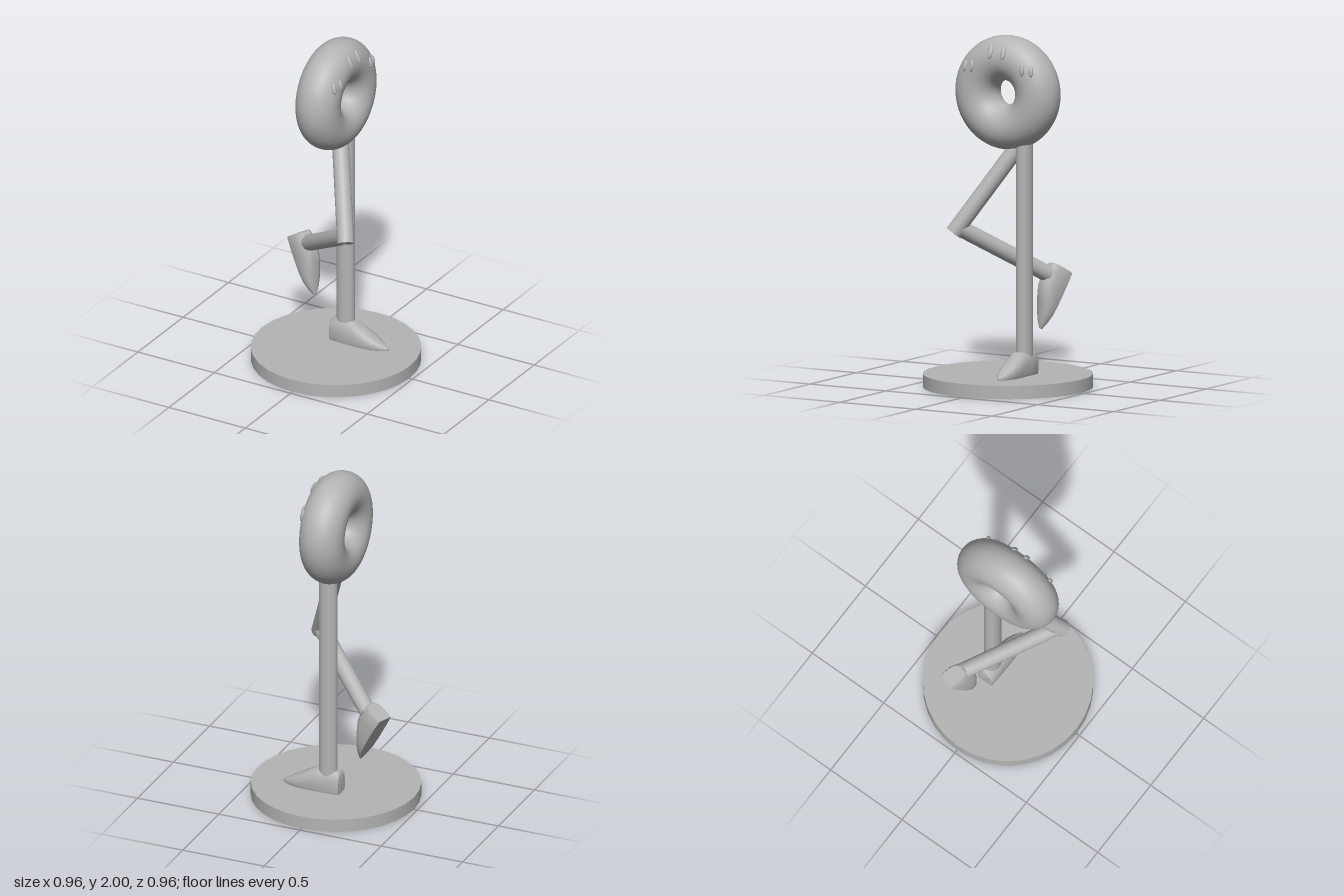
import * as THREE from 'three';
import { toCreasedNormals } from 'three/addons/utils/BufferGeometryUtils.js';

const V = (x, y, z) => new THREE.Vector3(x, y, z);
const RING = { y: 1.675, R: 0.197, r: 0.128 };

// Foot lofted along +x (toe), sole on y = 0: [x, height, half width]
function footGeometry() {
  const stations = [
    [-0.08, 0.118, 0.047], [-0.07, 0.13, 0.053], [0.005, 0.14, 0.057], [0.07, 0.13, 0.058],
    [0.13, 0.097, 0.057], [0.19, 0.063, 0.05], [0.24, 0.036, 0.031], [0.278, 0.014, 0.008],
  ];
  const section = [[-0.92, 0], [-1, 0.15], [-1, 0.55], [-0.82, 0.85], [-0.45, 1],
    [0.45, 1], [0.82, 0.85], [1, 0.55], [1, 0.15], [0.92, 0]];
  const n = section.length, pos = [], idx = [];
  for (const [x, h, w] of stations)
    for (const [z, y] of section) pos.push(x, y * h, z * w);
  for (let s = 0; s < stations.length - 1; s++)
    for (let i = 0; i < n; i++) {
      const a = s * n + i, b = s * n + (i + 1) % n;
      idx.push(a, b, a + n, b, b + n, a + n);
    }
  const last = (stations.length - 1) * n;
  for (let i = 1; i < n - 1; i++) {
    idx.push(0, i + 1, i);
    idx.push(last, last + i, last + i + 1);
  }
  const g = new THREE.BufferGeometry();
  g.setAttribute('position', new THREE.Float32BufferAttribute(pos, 3));
  g.setIndex(idx);
  return toCreasedNormals(g, 0.75);
}

export function createModel() {
  const model = new THREE.Group();
  model.name = 'ringFigure';
  const grey = new THREE.MeshStandardMaterial({ color: 0xb4b4b4 });
  grey.name = 'grey';

  const add = (name, geometry) => {
    const mesh = new THREE.Mesh(geometry, grey);
    mesh.name = name;
    model.add(mesh);
    return mesh;
  };
  // Round limb between two points
  const limb = (name, a, b, radius) => {
    const mesh = add(name, new THREE.CylinderGeometry(radius, radius, a.distanceTo(b), 32));
    mesh.position.copy(a).lerp(b, 0.5);
    mesh.quaternion.setFromUnitVectors(V(0, 1, 0), b.clone().sub(a).normalize());
    return mesh;
  };

  // Round base
  add('base', new THREE.CylinderGeometry(0.48, 0.48, 0.076, 32)).position.y = 0.038;

  // Ring body, hole facing sideways
  const body = add('ringBody', new THREE.TorusGeometry(RING.R, RING.r, 40, 80));
  body.rotation.y = Math.PI / 2;
  body.position.y = RING.y;

  // Standing leg, slightly oval
  const standing = limb('standingLeg', V(0, 0.17, -0.108), V(0, 1.41, -0.108), 0.046);
  standing.scale.x = 1.18;

  // Raised, bent leg
  limb('raisedThigh', V(0.203, 0.882, 0.235), V(-0.03, 1.42, -0.09), 0.048);
  limb('raisedShin', V(0.188, 0.915, 0.215), V(-0.25, 0.615, -0.118), 0.047);

  // Feet
  const foot = footGeometry();
  add('standingFoot', foot).position.set(0, 0.076, -0.104);
  const raised = add('raisedFoot', foot);
  const toe = V(0.49, -0.86, 0.18).normalize();
  const side = V(-0.35, 0, 0.94).normalize();
  const up = side.clone().cross(toe).normalize();
  raised.quaternion.setFromRotationMatrix(
    new THREE.Matrix4().makeBasis(toe, up, toe.clone().cross(up)));
  raised.position.set(-0.335, 0.548, -0.148);

  // Small oval bumps lying on the ring: [name, y, z, half width, half height]
  const bumps = [
    ['eye', 1.918, 0.044, 0.016, 0.044], ['eye', 1.918, -0.04, 0.016, 0.044],
    ['cheekMark', 1.824, 0.212, 0.013, 0.034], ['cheekMark', 1.828, 0.163, 0.013, 0.034],
    ['cheekMark', 1.828, -0.168, 0.013, 0.034], ['cheekMark', 1.824, -0.217, 0.013, 0.034],
  ];
  for (const [name, y, z, w, h] of bumps) {
    const dy = y - RING.y, rho = Math.hypot(dy, z), k = (rho - RING.R) / rho;
    const x = Math.sqrt(RING.r ** 2 - (rho - RING.R) ** 2);
    const normal = V(x, dy * k, z * k).normalize();
    const across = V(0, 1, 0).cross(normal).normalize();
    const mesh = add(name, new THREE.SphereGeometry(1, 20, 14));
    mesh.scale.set(w, h, 0.013);
    mesh.quaternion.setFromRotationMatrix(
      new THREE.Matrix4().makeBasis(across, normal.clone().cross(across), normal));
    mesh.position.set(x, y, z);
  }
  return model;
}
